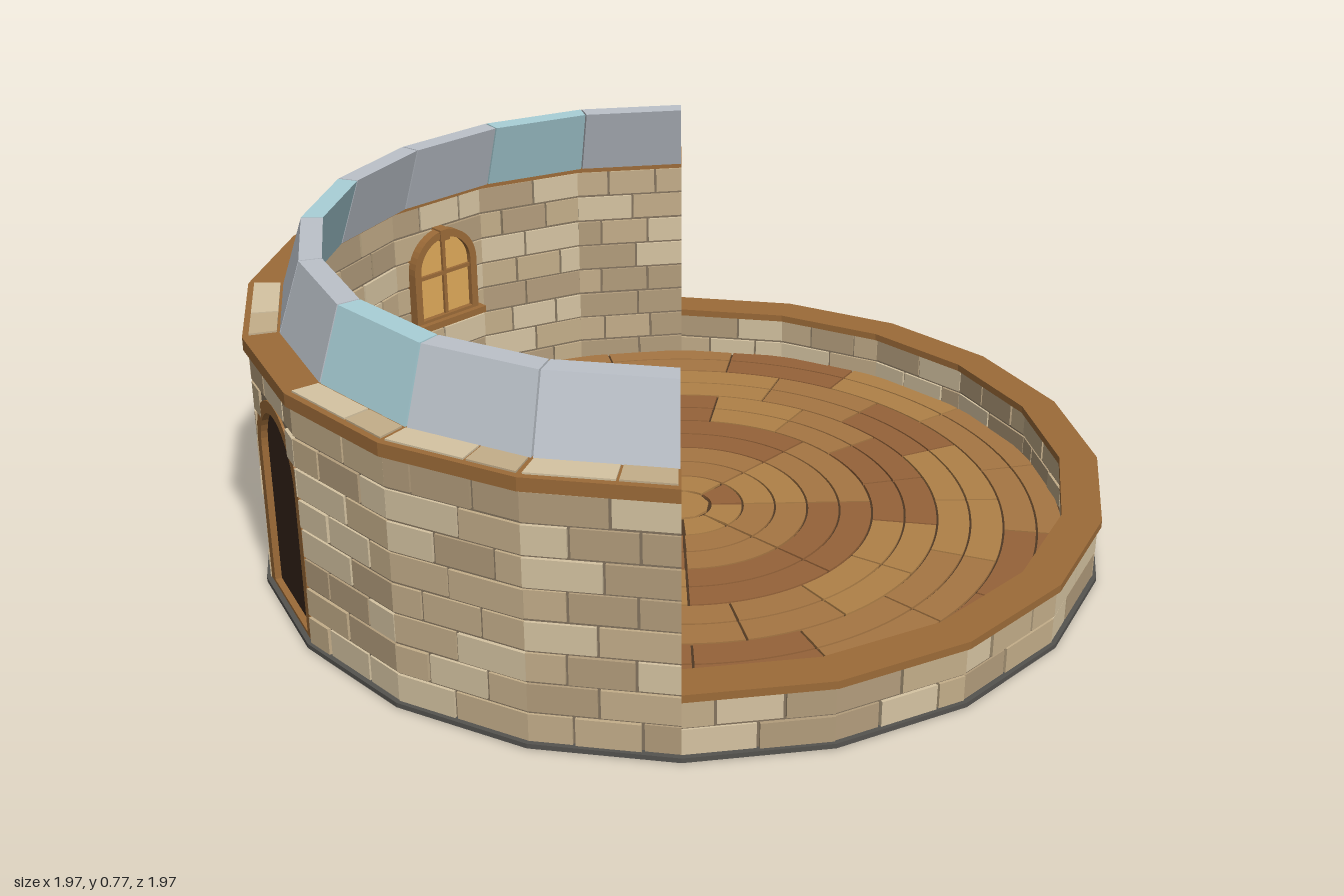
import * as THREE from 'three';
import { mergeGeometries } from 'three/addons/utils/BufferGeometryUtils.js';

const SIDES = 20, HALF = Math.PI / SIDES, RAD = Math.PI / 180;
const faceAngle = (k) => (142 + 18 * k) * RAD; // faces 0-9 tall wall, 10-19 low wall
const DOOR = 6, WINDOWS = [2, 4];
const WOOD = 0x9c6b38, DARK = 0x36251a;
const BRICK = [0xd6c4a2, 0xc4ae8a, 0xb39d7c], PLANK = [0xb08148, 0xa67643, 0x966339];

let seed = 7;
const rand = () => (seed = (seed * 16807) % 2147483647) / 2147483647;

export function createModel() {
  const root = new THREE.Group();
  const mat = (color) => new THREE.MeshStandardMaterial({ color, flatShading: true });
  const add = (name, geo, color, parent = root) => {
    const mesh = new THREE.Mesh(geo, mat(color));
    mesh.name = name;
    parent.add(mesh);
    return mesh;
  };

  // Mitred block on one face of the polygon; t runs -1..1 along the face, lean shifts its top radially
  function slab(k, t0, t1, r0, r1, y0, y1, lean = 0) {
    const g = new THREE.BoxGeometry(1, 1, 1).toNonIndexed(), p = g.attributes.position;
    for (let i = 0; i < p.count; i++) {
      const up = p.getY(i) > 0, t = p.getX(i) > 0 ? t1 : t0;
      const r = (p.getZ(i) > 0 ? r1 : r0) + (up ? lean : 0);
      p.setXYZ(i, t * r * Math.sin(HALF), up ? y1 : y0, r * Math.cos(HALF));
    }
    g.computeVertexNormals();
    return g.rotateY(faceAngle(k));
  }

  // Round-headed outline and its extrusion
  function arch(hw, y0, spring, shape = new THREE.Shape()) {
    shape.moveTo(-hw, y0).lineTo(hw, y0).lineTo(hw, spring);
    shape.absarc(0, spring, hw, 0, Math.PI, false);
    shape.lineTo(-hw, y0);
    return shape;
  }
  const extrude = (shape, z0, z1) =>
    new THREE.ExtrudeGeometry(shape, { depth: z1 - z0, bevelEnabled: false, curveSegments: 10 }).translate(0, 0, z0);
  const box = (w, h, d, x, y, z) => new THREE.BoxGeometry(w, h, d).translate(x, y, z);
  const archFrame = (hw, y0, spring, t, bottom, z0, z1) => {
    const s = arch(hw, y0, spring);
    s.holes.push(arch(hw - t, y0 + bottom, spring, new THREE.Path()));
    return extrude(s, z0, z1);
  };

  // Base
  const disc = (r, y0, y1) =>
    new THREE.CylinderGeometry(r, r, y1 - y0, SIDES, 1, false, 7 * RAD).translate(0, (y0 + y1) / 2, 0);
  add('baseRim', disc(0.99, 0.002, 0.013), 0x55534f);
  add('underside', disc(0.955, 0, 0.01), DARK);
  add('floorBed', disc(0.915, 0.01, 0.026), 0x4f3824);

  // Floor: rings of planks around a centre disc
  const planks = [[], [], []], step = 0.0775, gap = 0.005;
  const flat = (shape) => new THREE.ExtrudeGeometry(shape, { depth: 0.012, bevelEnabled: false, curveSegments: 5 })
    .rotateX(-Math.PI / 2).translate(0, 0.02, 0);
  for (let ring = 1; ring <= 11; ring++) {
    const r0 = 0.07 + (ring - 1) * step + gap / 2, r1 = Math.min(r0 + step - gap, 0.905);
    const n = ring < 6 ? 8 : 16, arc = 2 * Math.PI / n;
    for (let i = 0; i < n; i++) {
      const off = ring % 4 > 1 && ring > 5 ? arc / 2 : 0;
      const a0 = i * arc + off + gap / 2 / r0, a1 = (i + 1) * arc + off - gap / 2 / r0;
      const s = new THREE.Shape();
      s.absarc(0, 0, r1, a0, a1, false);
      s.absarc(0, 0, r0, a1, a0, true);
      planks[(i * 5 + Math.floor(ring / 2) * 4 + (i >> 1)) % 3].push(flat(s));
    }
  }
  const hub = new THREE.Shape();
  hub.absarc(0, 0, 0.066, 0, 2 * Math.PI, false);
  planks[0].push(flat(hub));
  planks.forEach((g, i) => add('floorPlanks' + (i + 1), mergeGeometries(g), PLANK[i]));

  // Walls: mortar core with bricks passing through it
  const bricks = [[], [], []], core = [], caps = [], doorHW = 0.15, doorSpring = 0.36;
  for (let k = 0; k < SIDES; k++) {
    const tall = k < 10, rows = tall ? 8 : 2, top = tall ? 0.58 : 0.145;
    const h = (top - 0.012) / rows;
    if (k !== DOOR) core.push(slab(k, -1, 1, 0.916, 0.974, 0.01, top));
    for (let row = 0; row < rows; row++) {
      const y0 = 0.012 + row * h, y1 = y0 + h - 0.007;
      const j = (rand() - 0.5) * 0.3;
      const cuts = (row + k) % 2 ? [-1, -0.45 + j, 0.45 + j, 1] : [-1, j, 1];
      // keep bricks out of the doorway
      let hole = 0;
      if (k === DOOR && y0 < doorSpring + doorHW) {
        const dy = Math.max(0, (y0 + y1) / 2 - doorSpring);
        hole = Math.sqrt(Math.max(0, 0.145 ** 2 - dy * dy)) / (0.945 * Math.sin(HALF));
      }
      for (let i = 0; i + 1 < cuts.length; i++) {
        const parts = hole ? [[cuts[i], Math.min(cuts[i + 1], -hole)], [Math.max(cuts[i], hole), cuts[i + 1]]]
          : [[cuts[i], cuts[i + 1]]];
        for (const [a, b] of parts) {
          if (b - a < 0.03) continue;
          const e0 = a === -1 ? a : a + 0.02, e1 = b === 1 ? b : b - 0.02;
          bricks[Math.floor(rand() * 3)].push(slab(k, e0, e1, 0.908 + rand() * 0.004, 0.982 - rand() * 0.004, y0, y1));
        }
      }
    }
    caps.push(slab(k, -1, 1, 0.9, 0.99, tall ? 0.578 : 0.142, tall ? 0.608 : 0.16));
    // stone insets along the top of the tall wall
    if (tall && ![1, 4, 6].includes(k)) {
      bricks[0].push(slab(k, -0.96, 0.2, 0.916, 0.976, 0.59, 0.612));
      bricks[1].push(slab(k, 0.24, 0.96, 0.916, 0.976, 0.59, 0.612));
    }
  }
  add('wallMortar', mergeGeometries(core), 0x85755f);
  bricks.forEach((g, i) => add('wallBricks' + (i + 1), mergeGeometries(g), BRICK[i]));
  add('wallCap', mergeGeometries(caps), WOOD);

  // Leaning roof panels
  for (let k = 0; k < 10; k++)
    add('roofPanel' + (k + 1), slab(k, -0.985, 0.985, 0.862, 0.912, 0.602, 0.768, -0.055), k % 3 === 1 ? 0xa9d0d8 : 0xbcc2ca);

  const faceGroup = (name, k) => {
    const g = new THREE.Group();
    g.name = name;
    g.rotation.y = faceAngle(k);
    root.add(g);
    return g;
  };

  // Door; its inner side looks along local -z
  const door = faceGroup('door', DOOR);
  const wallHW = 0.945 * Math.sin(HALF);
  const pierced = new THREE.Shape();
  pierced.moveTo(-wallHW, 0.01).lineTo(wallHW, 0.01).lineTo(wallHW, 0.58).lineTo(-wallHW, 0.58).lineTo(-wallHW, 0.01);
  pierced.holes.push(arch(0.14, 0.015, doorSpring, new THREE.Path()));
  add('doorWall', extrude(pierced, 0.905, 0.962), 0x85755f, door);
  add('doorFrame', archFrame(doorHW, 0.014, doorSpring, 0.028, 0.008, 0.875, 0.967), WOOD, door);
  add('doorBack', extrude(arch(0.125, 0.02, doorSpring), 0.935, 0.952), DARK, door);
  add('doorLeaf', extrude(arch(0.124, 0.025, doorSpring), 0.905, 0.935), 0x17595e, door);
  const boards = [-0.08, 0, 0.08].map((x) => box(0.074, 0.4 - Math.abs(x) * 0.4, 0.012, x, 0.235 - Math.abs(x) * 0.2, 0.902));
  add('doorBoards', mergeGeometries(boards), 0x257d80, door);
  add('doorBand', mergeGeometries([box(0.24, 0.014, 0.01, 0, 0.33, 0.895), box(0.24, 0.014, 0.01, 0, 0.1, 0.895)]), 0x1b3a3d, door);
  add('doorPorthole', new THREE.CylinderGeometry(0.028, 0.028, 0.014, 16).rotateX(Math.PI / 2).translate(0, 0.32, 0.888), 0xe0ab5a, door);
  add('portholeRing', new THREE.TorusGeometry(0.032, 0.007, 6, 18).translate(0, 0.32, 0.886), WOOD, door);
  add('doorHandle', new THREE.TorusGeometry(0.018, 0.005, 6, 14).translate(-0.075, 0.185, 0.888), 0x7a6a35, door);
  add('doorKeystone', box(0.04, 0.05, 0.03, 0, 0.497, 0.882), WOOD, door);
  add('doorHood', box(0.28, 0.006, 0.03, 0, 0.523, 0.89), 0x5c4024, door);

  // Arched windows on the inner wall
  for (const k of WINDOWS) {
    const w = faceGroup('window', k);
    add('windowFrame', archFrame(0.102, 0.255, 0.402, 0.02, 0.015, 0.872, 0.905), WOOD, w);
    add('windowGlass', extrude(arch(0.084, 0.265, 0.402), 0.886, 0.904), 0xe0ab5a, w);
    add('windowBars', mergeGeometries([box(0.01, 0.21, 0.012, 0, 0.375, 0.884), box(0.165, 0.01, 0.012, 0, 0.385, 0.884)]), WOOD, w);
    add('windowSill', box(0.23, 0.018, 0.05, 0, 0.253, 0.882), WOOD, w);
    add('windowKeystone', box(0.03, 0.03, 0.036, 0, 0.492, 0.886), WOOD, w);
  }
  return root;
}
